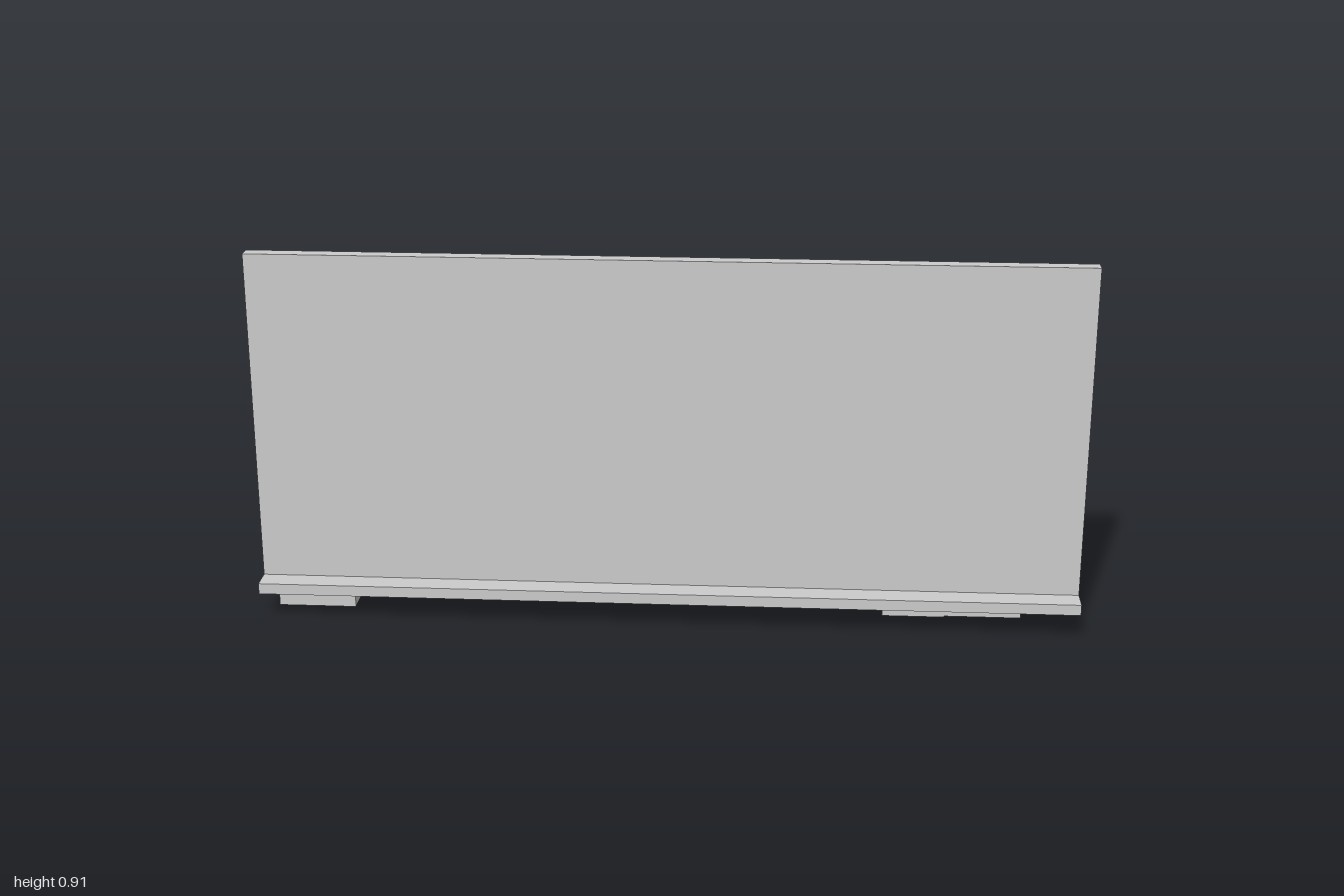
import * as THREE from 'three';

const material = new THREE.MeshStandardMaterial({ color: 0xcccccc, flatShading: true });

// Box given by its lower and upper corners
function block(name, [x0, y0, z0], [x1, y1, z1]) {
  const mesh = new THREE.Mesh(new THREE.BoxGeometry(x1 - x0, y1 - y0, z1 - z0), material);
  mesh.position.set((x0 + x1) / 2, (y0 + y1) / 2, (z0 + z1) / 2);
  mesh.name = name;
  return mesh;
}

export function createModel() {
  const model = new THREE.Group();
  model.name = 'boardWithPlatform';

  // Upright panel with a narrow ledge along its front
  model.add(block('panel', [-1, 0.056, 0.017], [1, 0.912, 0.054]));
  model.add(block('frontLedge', [-1, 0.067, 0.054], [1, 0.094, 0.113]));

  // Platform behind the panel: one extruded bridge outline with two legs
  const outline = new THREE.Shape([
    [-0.972, 0], [-0.78, 0], [-0.78, 0.2], [0.528, 0.2],
    [0.528, 0.014], [0.68, 0.014], [0.68, 0.233], [-0.972, 0.233],
  ].map(([x, y]) => new THREE.Vector2(x, y)));
  const bridge = new THREE.ExtrudeGeometry(outline, { depth: 0.137, bevelEnabled: false });
  const platform = new THREE.Mesh(bridge, material);
  platform.position.z = -0.111;
  platform.name = 'platform';
  model.add(platform);

  // Stacked stair slabs, each shorter than the one below
  const stairs = new THREE.Group();
  stairs.name = 'stairs';
  for (let i = 0; i < 4; i++) {
    const y = 0.016 + i * 0.0455;
    stairs.add(block('step', [0.68, y, -0.104], [0.866 - i * 0.0465, y + 0.033, 0.024]));
  }
  model.add(stairs);

  return model;
}
